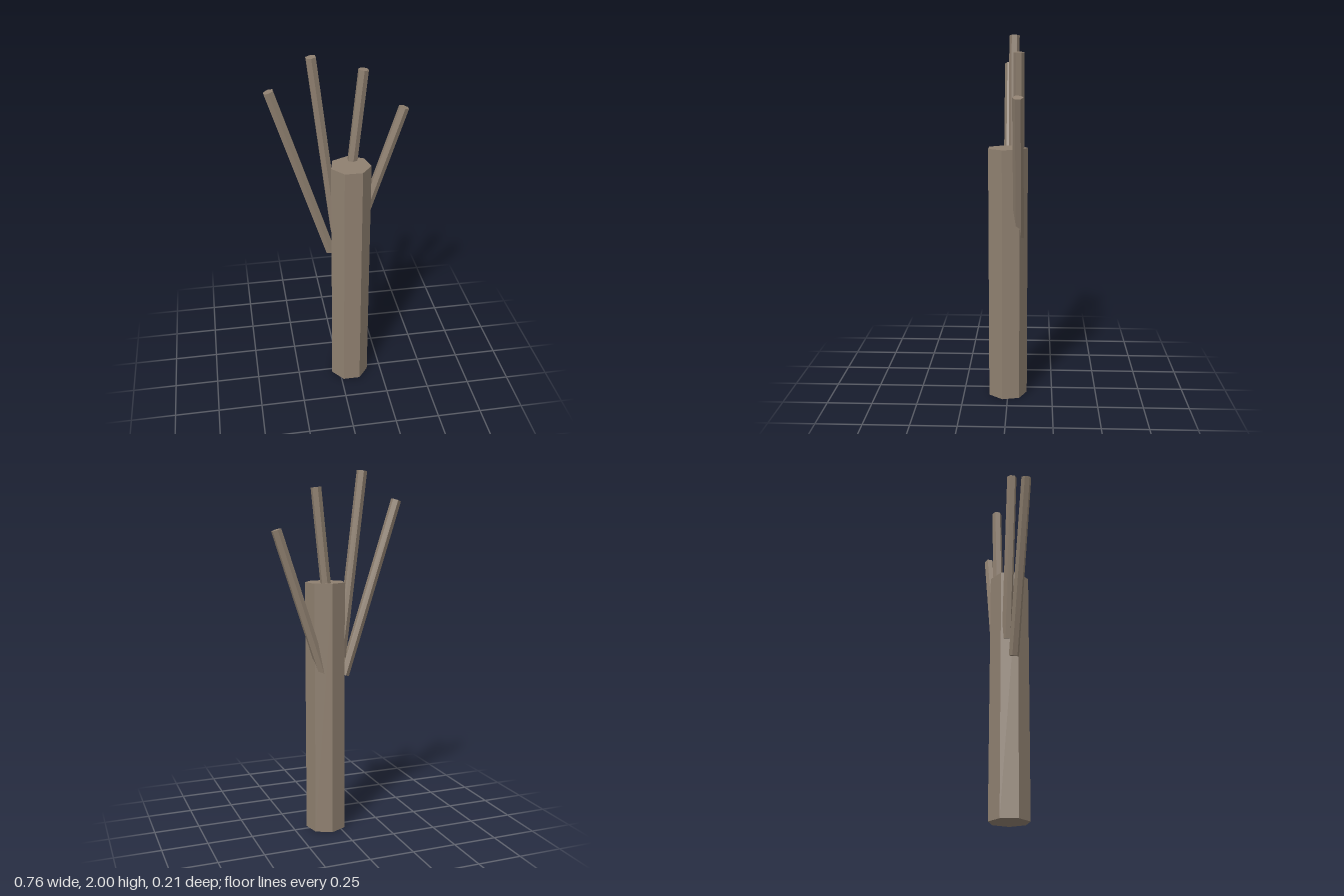
import * as THREE from 'three';

export function createModel() {
  const model = new THREE.Group();
  const bark = new THREE.MeshStandardMaterial({ color: 0x8f8070, flatShading: true });
  bark.name = 'bark';

  // Seven-sided trunk with one corner pointing backwards
  const trunkHeight = 1.405;
  const trunk = new THREE.Mesh(new THREE.CylinderGeometry(0.1115, 0.1115, trunkHeight, 7), bark);
  trunk.name = 'trunk';
  trunk.rotation.y = Math.PI;
  trunk.position.set(0.061, trunkHeight / 2, 0.0045);
  model.add(trunk);

  // Six-sided branches, each leaning sideways from its foot in the trunk to its tip
  const addBranch = (name, foot, tip, z) => {
    const [dx, dy] = [tip[0] - foot[0], tip[1] - foot[1]];
    const branch = new THREE.Mesh(new THREE.CylinderGeometry(0.0285, 0.0285, Math.hypot(dx, dy), 6), bark);
    branch.name = name;
    branch.rotation.z = -Math.atan2(dx, dy);
    branch.position.set((foot[0] + tip[0]) / 2, (foot[1] + tip[1]) / 2, z);
    model.add(branch);
  };
  addBranch('outerRightBranch', [-0.05, 0.88], [-0.357, 1.843], 0.004);
  addBranch('innerRightBranch', [-0.017, 0.99], [-0.138, 1.997], -0.028);
  addBranch('innerLeftBranch', [0.036, 0.96], [0.135, 1.908], -0.059);
  addBranch('outerLeftBranch', [0.09, 0.88], [0.354, 1.69], -0.059);

  return model;
}
